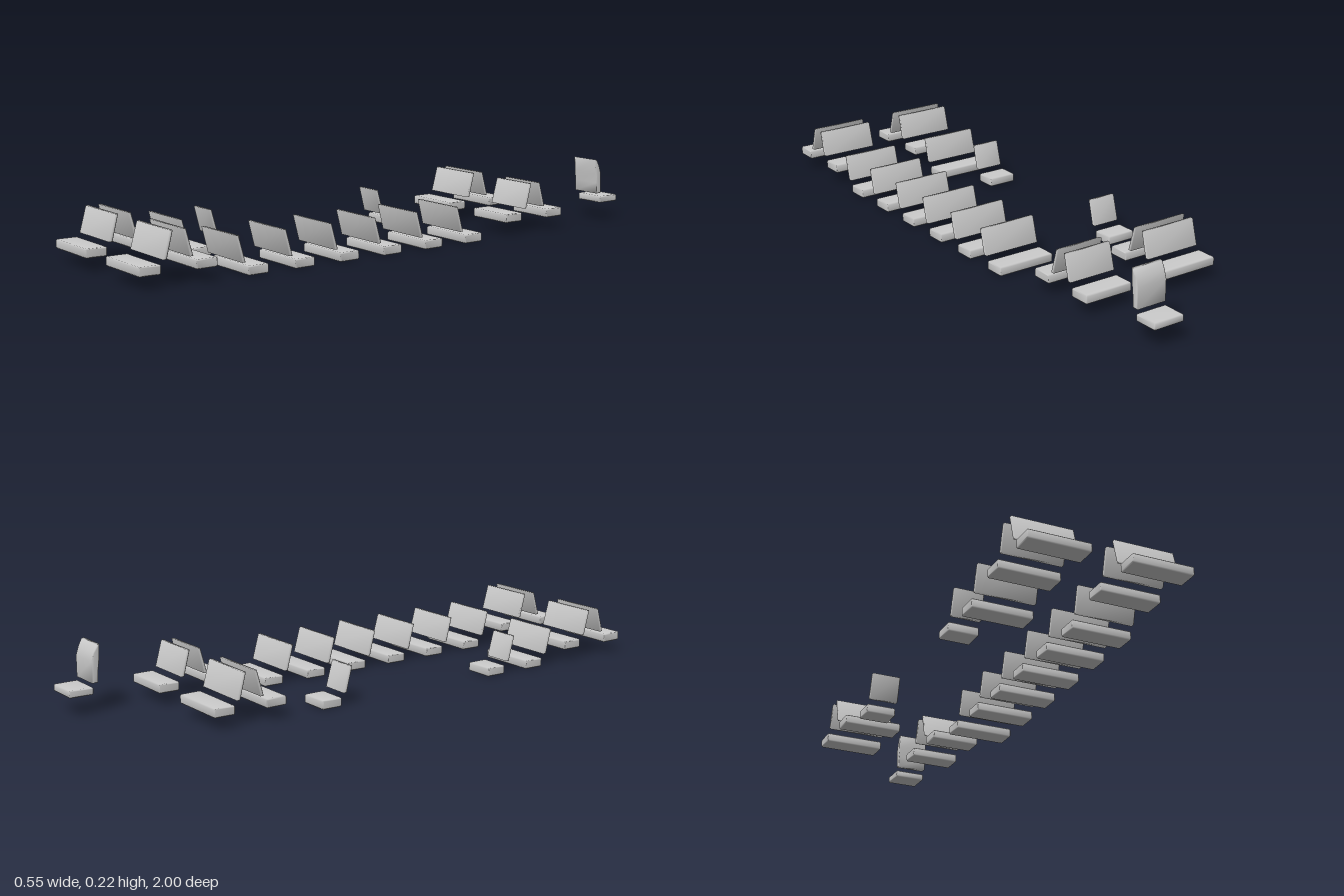
import * as THREE from 'three';
import { mergeVertices } from 'three/addons/utils/BufferGeometryUtils.js';

const fabric = new THREE.MeshStandardMaterial({ color: 0xcccccc });
fabric.name = 'seatGrey';

// Side profile of [z, y] points, drawn out across the seat width with small chamfered ends
function pad(name, profile, width) {
  const bevel = 0.003;
  const shape = new THREE.Shape(profile.map(([z, y]) => new THREE.Vector2(z, y)));
  let geo = new THREE.ExtrudeGeometry(shape, {
    depth: width - 2 * bevel, bevelEnabled: true, bevelSegments: 1,
    bevelSize: bevel, bevelThickness: bevel, bevelOffset: -bevel,
  });
  geo.center = undefined;
  geo.translate(0, 0, bevel - width / 2);
  geo.rotateY(-Math.PI / 2);
  // Shared vertices give the soft, upholstered shading
  geo.deleteAttribute('uv');
  geo.deleteAttribute('normal');
  geo = mergeVertices(geo, 1e-5);
  geo.computeVertexNormals();
  const mesh = new THREE.Mesh(geo, fabric);
  mesh.name = name;
  return mesh;
}

// Rectangle with cut corners, front edge at z = 0
function cushionProfile(depth, y0, y1, c = 0.004) {
  return [
    [-depth + c, y0], [-c, y0], [0, y0 + c], [0, y1 - c],
    [-c, y1], [-depth + c, y1], [-depth, y1 - c], [-depth, y0 + c],
  ];
}

const benchBack = [[-0.095, 0.042], [-0.083, 0.042], [-0.107, 0.128], [-0.117, 0.128]];
const driverBack = [
  [-0.102, 0.036], [-0.081, 0.036], [-0.081, 0.106], [-0.09, 0.134],
  [-0.102, 0.158], [-0.111, 0.16], [-0.109, 0.11], [-0.104, 0.075],
];

// A seat faces +z (dir 1) or -z (dir -1); front is the z of its cushion's front edge
function seat(name, x0, x1, front, y, dir, single = false) {
  const group = new THREE.Group();
  group.name = name;
  const width = x1 - x0;
  const cushion = single ? cushionProfile(0.085, 0, 0.024) : cushionProfile(0.075, 0, 0.03);
  group.add(pad('cushion', cushion, width));
  group.add(pad('backrest', single ? driverBack : benchBack, width));
  group.position.set((x0 + x1) / 2, y, front);
  if (dir < 0) group.rotation.y = Math.PI;
  return group;
}

export function createModel() {
  const model = new THREE.Group();
  model.name = 'seating';
  const raised = 0.042;
  const inner = 0.066, outer = 0.273;

  // Facing pairs on raised floor at both ends
  for (const side of [-1, 1]) {
    const label = side > 0 ? 'left' : 'right';
    const a = side > 0 ? inner : -outer;
    const b = side > 0 ? outer : -inner;
    const rearB = side > 0 ? 0.24 : b;
    model.add(seat(label + 'FrontBench', a, b, 1.0, raised, 1));
    model.add(seat(label + 'SecondBench', a, b, 0.732, raised, -1));
    model.add(seat(label + 'RearBenchForward', a, rearB, -0.446, raised, 1));
    model.add(seat(label + 'RearBenchBackward', a, rearB, -0.709, raised, -1));
  }

  // Low row of benches on the left
  for (let i = 0; i < 6; i++) {
    model.add(seat('leftLowBench' + (i + 1), inner, outer, 0.55 - i * 0.172, 0, -1));
  }

  // Low bench and two single seats on the right
  model.add(seat('rightLowBench', -outer, -inner, 0.55, 0, -1));
  model.add(seat('rightSingleSeat1', -outer, -0.17, 0.378, 0, -1));
  model.add(seat('rightSingleSeat2', -outer, -0.17, -0.31, 0, -1));

  // Driver seat with a curved, taller backrest
  model.add(seat('driverSeat', 0.111, 0.222, -1.0, 0.064, -1, true));
  return model;
}
